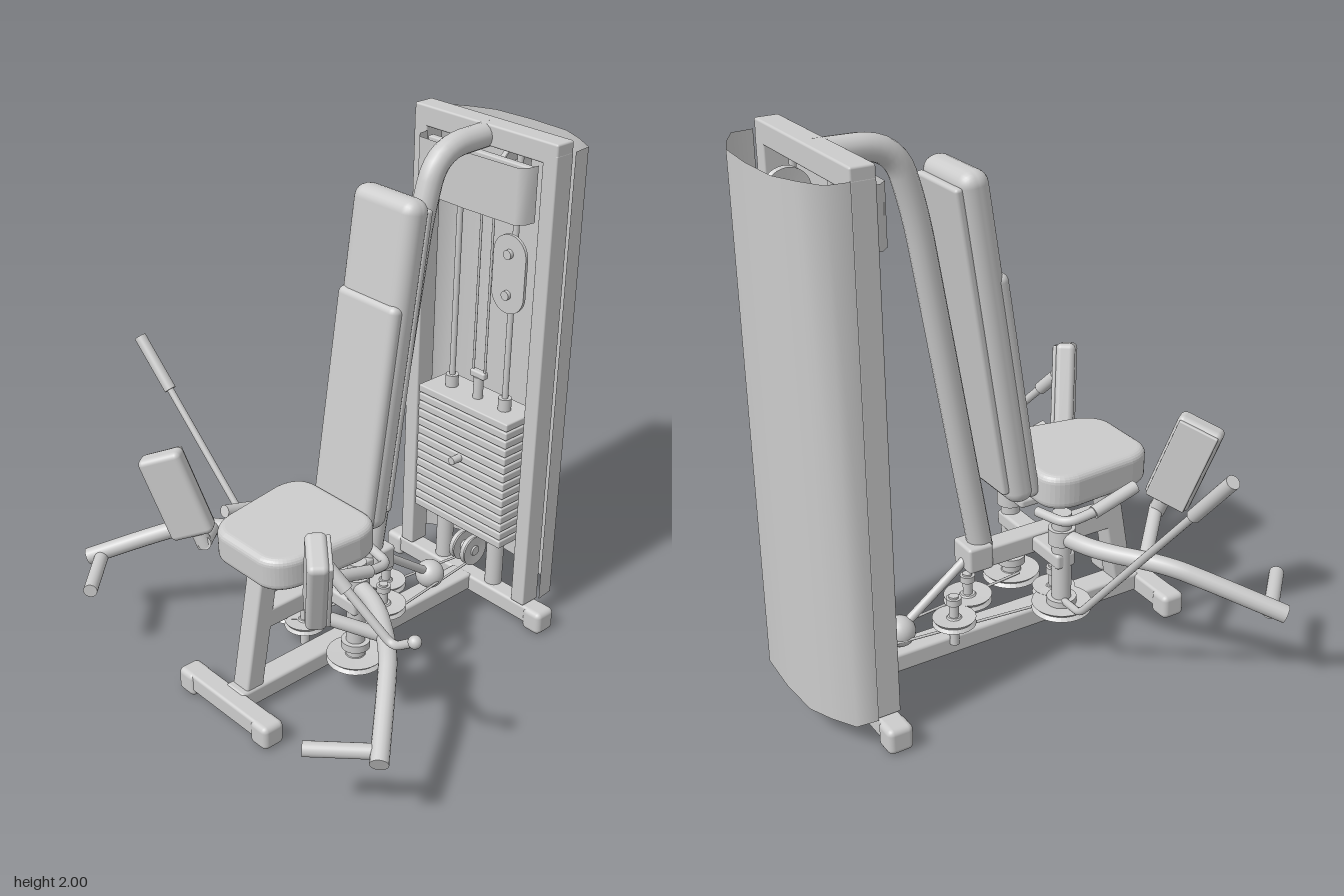
import * as THREE from 'three';
import { RoundedBoxGeometry } from 'three/addons/geometries/RoundedBoxGeometry.js';

const grey = new THREE.MeshStandardMaterial({ color: 0xcccccc });
const thin = new THREE.MeshStandardMaterial({ color: 0xcccccc, side: THREE.DoubleSide });
const V = (x, y, z) => new THREE.Vector3(x, y, z);
const R = Math.SQRT1_2;
// ground-plan position -> machine axis (z forward along the diagonal); s = -1 gives the mirrored side
const P = (x, y, z, s = 1) => V(s * (x + z) * R, y, (z - x) * R);

export function createModel() {
  const root = new THREE.Group();
  root.name = 'legExerciseMachine';
  const machine = new THREE.Group();
  machine.name = 'machine';
  machine.rotation.y = -Math.PI / 4;
  root.add(machine);

  const add = (name, geo, pos, rot, mat = grey) => {
    const m = new THREE.Mesh(geo, mat);
    m.name = name;
    if (pos) m.position.copy(pos);
    if (rot) m.rotation.set(...rot);
    machine.add(m);
    return m;
  };
  const box = (name, w, h, d, x, y, z, r = 0.012, rot) =>
    add(name, new RoundedBoxGeometry(w, h, d, 3, r), V(x, y, z), rot);
  const cyl = (name, r, h, pos, rot, r2 = r) =>
    add(name, new THREE.CylinderGeometry(r, r2, h, 28), pos, rot);
  // straight round bar between two points
  const rod = (name, a, b, r) => {
    const d = b.clone().sub(a);
    const m = cyl(name, r, d.length(), a.clone().lerp(b, 0.5));
    m.quaternion.setFromUnitVectors(V(0, 1, 0), d.normalize());
    return m;
  };
  // rectangular bar between two points
  const beam = (name, a, b, w, h) => {
    const m = add(name, new RoundedBoxGeometry(w, h, a.distanceTo(b), 2, 0.01), a.clone().lerp(b, 0.5));
    m.lookAt(machine.localToWorld(b.clone()));
    return m;
  };
  // bent tube with rounded corners and capped ends
  const bent = (name, pts, r, bend = 0.06) => {
    const path = new THREE.CurvePath();
    let last = pts[0];
    for (let i = 1; i < pts.length - 1; i++) {
      const p = pts[i];
      const to = (q) => p.clone().lerp(q, Math.min(0.48, bend / p.distanceTo(q)));
      const a = to(pts[i - 1]), b = to(pts[i + 1]);
      path.add(new THREE.LineCurve3(last, a));
      path.add(new THREE.QuadraticBezierCurve3(a, p, b));
      last = b;
    }
    path.add(new THREE.LineCurve3(last, pts.at(-1)));
    add(name, new THREE.TubeGeometry(path, 64, r, 16), null, null, thin);
    for (const [p, q] of [[pts[0], pts[1]], [pts.at(-1), pts.at(-2)]])
      rod(name + 'Cap', p, p.clone().lerp(q, 0.005 / p.distanceTo(q)), r);
  };
  // upright sheet that follows a plan outline
  const sheet = (name, pts, y0, y1) => {
    const g = new THREE.PlaneGeometry(1, 1, pts.length - 1, 1);
    const p = g.attributes.position;
    for (let i = 0; i < p.count; i++) {
      const [x, z] = pts[i % pts.length];
      p.setXYZ(i, x, i < pts.length ? y1 : y0, z);
    }
    g.computeVertexNormals();
    return add(name, g, null, null, thin);
  };
  // grooved wheel
  const pulley = (name, r, pos, rot) => {
    const prof = [[0, -0.016], [r * 0.3, -0.016], [r * 0.35, -0.01], [r, -0.013], [r * 0.88, 0],
      [r, 0.013], [r * 0.35, 0.01], [r * 0.3, 0.016], [0, 0.016]].map((q) => new THREE.Vector2(...q));
    const g = new THREE.LatheGeometry(prof, 32).toNonIndexed();
    g.computeVertexNormals();
    return add(name, g, pos, rot);
  };

  // base
  box('baseBeam', 0.1, 0.075, 1.22, 0, 0.065, -0.2);
  for (const [z, half] of [[0.43, 0.255], [-0.833, 0.435]]) {
    box('crossFoot', half * 2 - 0.04, 0.075, 0.08, 0, 0.06, z);
    for (const s of [-1, 1]) box('rubberFoot', 0.09, 0.098, 0.095, s * (half - 0.045), 0.049, z, 0.022);
  }

  // weight tower
  for (const s of [-1, 1]) {
    box('towerUpright', 0.065, 1.86, 0.087, s * 0.313, 1.03, -0.833, 0.006);
    rod('guideRod', V(s * 0.14, 0.1, -0.84), V(s * 0.14, 1.93, -0.84), 0.012);
    cyl('guideBushing', 0.026, 0.05, V(s * 0.14, 0.915, -0.84));
    rod('liftCable', V(s * 0.03, 1.0, -0.84), V(s * 0.03, 1.85, -0.84), 0.005);
    cyl('stackCushion', 0.035, 0.23, V(s * 0.14, 0.215, -0.84));
  }
  box('towerTopBeam', 0.69, 0.08, 0.087, 0, 1.96, -0.833, 0.008);
  sheet('rearShroud', [[-0.354, -0.877], [-0.346, -0.955], [-0.26, -1.005], [-0.17, -1.043], [0, -1.052],
    [0.17, -1.043], [0.26, -1.005], [0.346, -0.955], [0.354, -0.877]], 0.1, 1.96);
  sheet('pulleyCover', [[-0.27, -0.785], [-0.265, -0.74], [-0.24, -0.712], [0, -0.705],
    [0.24, -0.712], [0.265, -0.74], [0.27, -0.785]], 1.7, 1.91);
  box('pulleyHousing', 0.5, 0.16, 0.03, 0, 1.82, -0.78, 0.006);
  pulley('topPulley', 0.08, V(0.06, 1.83, -0.9), [0, 0, Math.PI / 2]);
  for (let i = 0; i < 15; i++)
    box('weightPlate', 0.47, 0.033, 0.18, 0, 0.35 + i * 0.0373, -0.84, 0.006);
  rod('stackCore', V(0, 0.33, -0.84), V(0, 0.98, -0.84), 0.02);
  cyl('selectorPin', 0.016, 0.06, V(0, 0.65, -0.735), [Math.PI / 2, 0, 0]);
  box('cableYoke', 0.075, 0.03, 0.03, 0, 0.99, -0.84, 0.008);

  // slotted info plate with two bolts
  const slot = new THREE.Shape();
  slot.absarc(0, 0.075, 0.078, 0, Math.PI);
  slot.absarc(0, -0.075, 0.078, Math.PI, Math.PI * 2);
  add('infoPlate', new THREE.ExtrudeGeometry(slot, { depth: 0.012, bevelEnabled: false, curveSegments: 16 }), V(0.17, 1.475, -0.79));
  for (const y of [1.395, 1.555]) cyl('plateBolt', 0.018, 0.02, V(0.17, y, -0.773), [Math.PI / 2, 0, 0]);

  // seat frame
  bent('backPost', [V(0, 0.34, -0.26), V(0, 1.72, -0.49), V(0, 1.95, -0.56), V(0, 1.955, -0.83)], 0.046, 0.13);
  beam('frontPost', V(0, 0.08, 0.345), V(0, 0.58, 0.26), 0.085, 0.08);
  beam('seatBeam', V(0, 0.375, 0.3), V(0, 0.375, -0.32), 0.085, 0.08);
  box('rearBracket', 0.12, 0.1, 0.1, 0, 0.39, -0.3);
  box('seatCarrier', 0.16, 0.035, 0.45, 0, 0.575, 0.08);
  box('pivotBridge', 0.42, 0.06, 0.08, 0, 0.375, -0.035);

  // seat cushion: tapered outline with rounded edges
  const seat = new THREE.Shape();
  seat.moveTo(-0.1, -0.335);
  seat.lineTo(0.1, -0.335);
  seat.quadraticCurveTo(0.16, -0.325, 0.175, -0.25);
  seat.lineTo(0.205, 0);
  seat.quadraticCurveTo(0.205, 0.09, 0.13, 0.09);
  seat.lineTo(-0.13, 0.09);
  seat.quadraticCurveTo(-0.205, 0.09, -0.205, 0);
  seat.lineTo(-0.175, -0.25);
  seat.quadraticCurveTo(-0.16, -0.325, -0.1, -0.335);
  add('seatCushion', new THREE.ExtrudeGeometry(seat, { depth: 0.075, bevelSize: 0.028, bevelThickness: 0.028, bevelSegments: 5, curveSegments: 10 }),
    V(0, 0.618, 0), [-Math.PI / 2 + 0.03, 0, 0]);

  // backrest: cushion, raised lower pad and rear board
  const tilt = -0.143;
  box('backCushion', 0.31, 1.25, 0.11, 0, 1.235, -0.255, 0.05, [tilt, 0, 0]);
  box('lumbarPad', 0.3, 0.87, 0.06, 0, 1.06, -0.19, 0.028, [tilt, 0, 0]);
  box('backBoard', 0.27, 1.15, 0.03, 0, 1.235, -0.318, 0.012, [tilt, 0, 0]);

  // mirrored swing arms
  for (const s of [-1, 1]) {
    const p = (x, y, z) => P(x, y, z, s);
    const pivot = V(s * 0.177, 0, -0.035);
    const at = (y) => pivot.clone().setY(y);
    rod('armPivot', at(0.13), at(0.56), 0.036);
    cyl('pivotCollar', 0.05, 0.06, at(0.47));
    cyl('pivotFlange', 0.055, 0.03, at(0.2));
    pulley('pivotPulley', 0.11, at(0.14 + (s < 0 ? 0.04 : 0)));
    const arm = [p(0.15, 0.465, 0.1), p(0.23, 0.465, 0.24), p(0.275, 0.465, 0.5), p(0.27, 0.41, 0.66), p(0.255, 0.31, 0.92)];
    bent('swingArm', arm, 0.033, 0.11);
    rod('footPeg', p(0.27, 0.32, 0.865), p(0, 0.32, 0.865), 0.027);
    rod('padBracket', p(0.25, 0.465, 0.42), p(0.0, 0.55, 0.42), 0.025);
    rod('padStem', p(0.02, 0.53, 0.42), p(0.04, 0.7, 0.49), 0.03);

    // knee pad and its backing plate
    const pad = new THREE.Group();
    pad.name = 'kneePad';
    pad.position.copy(p(0.025, 0.745, 0.518));
    pad.rotation.order = 'YXZ';
    pad.rotation.set(0.36, s * (Math.PI / 4 + 0.13), 0);
    const cushion = new THREE.Mesh(new RoundedBoxGeometry(0.075, 0.35, 0.17, 4, 0.022), grey);
    cushion.name = 'kneeCushion';
    const plate = new THREE.Mesh(new RoundedBoxGeometry(0.016, 0.33, 0.15, 2, 0.006), grey);
    plate.name = 'kneePlate';
    plate.position.x = s * 0.042;
    pad.add(cushion, plate);
    machine.add(pad);

    // hand grips beside the seat
    const g = [p(0.19, 0.575, 0.02), p(0.265, 0.58, 0.14), p(0.2, 0.6, 0.225), p(0.07, 0.65, 0.35)];
    bent('seatHandle', g, 0.018, 0.05);
    rod('handGrip', g[2], g[3], 0.024);
  }

  // long adjusting lever on the right
  const lever = [P(-0.75, 1.05, -0.73), P(-0.2, 0.25, -0.31), P(-0.1, 0.2, -0.15)];
  bent('longLever', lever, 0.014, 0.04);
  rod('longLeverGrip', lever[0], lever[0].clone().lerp(lever[1], 0.23), 0.024);

  // short adjusting lever on the left
  const crank = [P(0.06, 0.8, 0.5), P(0.29, 0.55, 0.6), P(0.36, 0.63, 0.68)];
  bent('shortLever', crank, 0.016, 0.04);
  rod('shortLeverGrip', crank[0], crank[0].clone().lerp(crank[1], 0.3), 0.025);
  add('shortLeverKnob', new THREE.SphereGeometry(0.024, 16, 12), crank[2]);

  // cable routing on the base
  for (const [x, z, r] of [[-0.07, 0, 0.08], [0.05, -0.3, 0.09], [-0.06, -0.42, 0.08]]) {
    pulley('basePulley', r, V(x, 0.18, z));
    cyl('basePulleyPost', 0.018, 0.2, V(x, 0.18, z));
    cyl('basePulleyNut', 0.028, 0.025, V(x, 0.26, z));
  }
  rod('rearStrut', V(0, 0.4, -0.3), V(0, 0.17, -0.61), 0.017);
  add('strutBall', new THREE.SphereGeometry(0.058, 24, 16), V(0, 0.165, -0.61));
  for (const x of [-0.03, 0.03]) {
    pulley('lowerPulley', 0.065, V(x, 0.2, -0.83), [0, 0, Math.PI / 2]);
    rod('baseCable', V(x, 0.15, -0.8), V(x * 4, 0.16, -0.035), 0.005);
  }
  return root;
}
